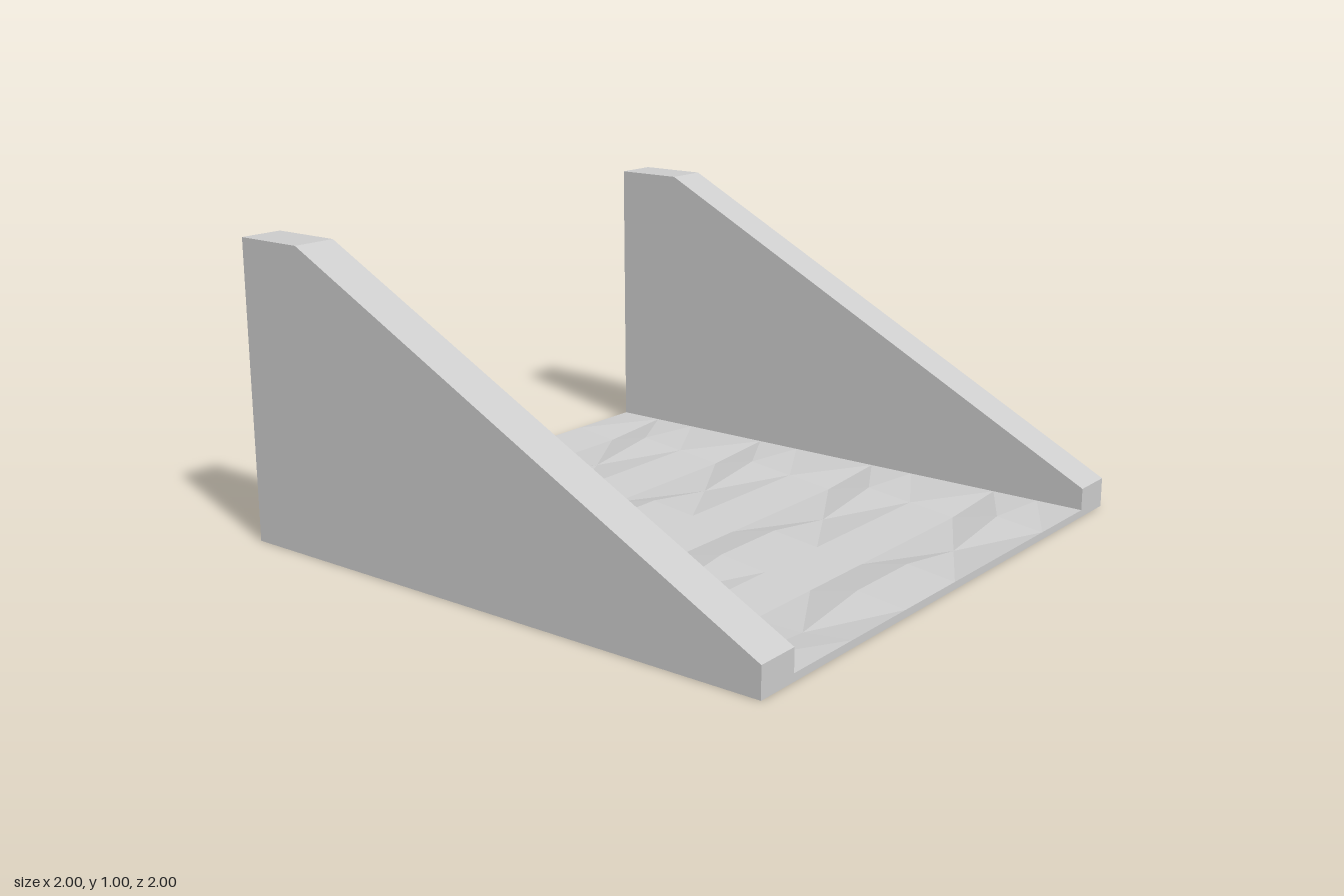
import * as THREE from 'three';

const material = new THREE.MeshStandardMaterial({ color: 0xcccccc, flatShading: true, side: THREE.DoubleSide });
const INNER = 0.85, BASE = 0.025, STEP = 0.02;

// Mesh from a flat list of triangle corners
function facetMesh(name, corners) {
  const geometry = new THREE.BufferGeometry().setFromPoints(corners);
  geometry.computeVertexNormals();
  const mesh = new THREE.Mesh(geometry, material);
  mesh.name = name;
  return mesh;
}

const quad = (a, b, c, d) => [a, b, c, a, c, d];

// Hollow side wall, open at the back and underneath; side is +1 or -1
function sideWall(name, side) {
  const profile = [[1, 0], [1, 0.1], [-0.75, 1], [-1, 1], [-1, 0]]; // z, y
  const at = (x, i) => new THREE.Vector3(side * x, profile[i][1], profile[i][0]);
  const corners = [];
  const add = (a, b, c) => corners.push(...(side > 0 ? [a, b, c] : [a, c, b]));

  // Front lip, slope and flat top
  for (let i = 0; i < 3; i++) {
    const [a, b, c, d] = [at(INNER, i), at(1, i), at(1, i + 1), at(INNER, i + 1)];
    add(a, b, c);
    add(a, c, d);
  }
  // Outer and inner cheeks
  for (let i = 1; i < 4; i++) {
    add(at(1, 0), at(1, i + 1), at(1, i));
    add(at(INNER, 0), at(INNER, i), at(INNER, i + 1));
  }
  return facetMesh(name, corners);
}

// Rippled floor: three rows of heights repeated four times from back to front
function floor() {
  const heights = [
    [0, 0, 0, 0, 0, 0, 0],
    [0, -1, -1, -1, -1, -1, 0],
    [0, -1, 1, 1, -1, 1, 0],
  ];
  // Direction of the fold in each cell, as seen from above
  const folds = ['/////\\', '///\\//', '\\\\//\\/'];
  const point = (col, row) => new THREE.Vector3(
    -INNER + col * INNER / 3, BASE + STEP * heights[row % 3][col], -1 + row / 6);
  const corners = [];
  for (let row = 0; row < 12; row++) {
    for (let col = 0; col < 6; col++) {
      const a = point(col, row), b = point(col, row + 1);
      const c = point(col + 1, row + 1), d = point(col + 1, row);
      corners.push(...(folds[row % 3][col] === '/' ? quad(b, d, a, b).slice(0, 3).concat([b, c, d]) : quad(a, b, c, d)));
    }
  }
  return facetMesh('floor', corners);
}

// Thin strip closing the floor edge down to the ground
function edgeStrip(name, z) {
  const p = (x, y) => new THREE.Vector3(x * Math.sign(z), y, z);
  return facetMesh(name, quad(p(-INNER, 0), p(INNER, 0), p(INNER, BASE), p(-INNER, BASE)));
}

export function createModel() {
  const model = new THREE.Group();
  model.name = 'channel';
  model.add(
    sideWall('leftWall', 1),
    sideWall('rightWall', -1),
    floor(),
    edgeStrip('frontEdge', 1),
    edgeStrip('backEdge', -1),
  );
  return model;
}
